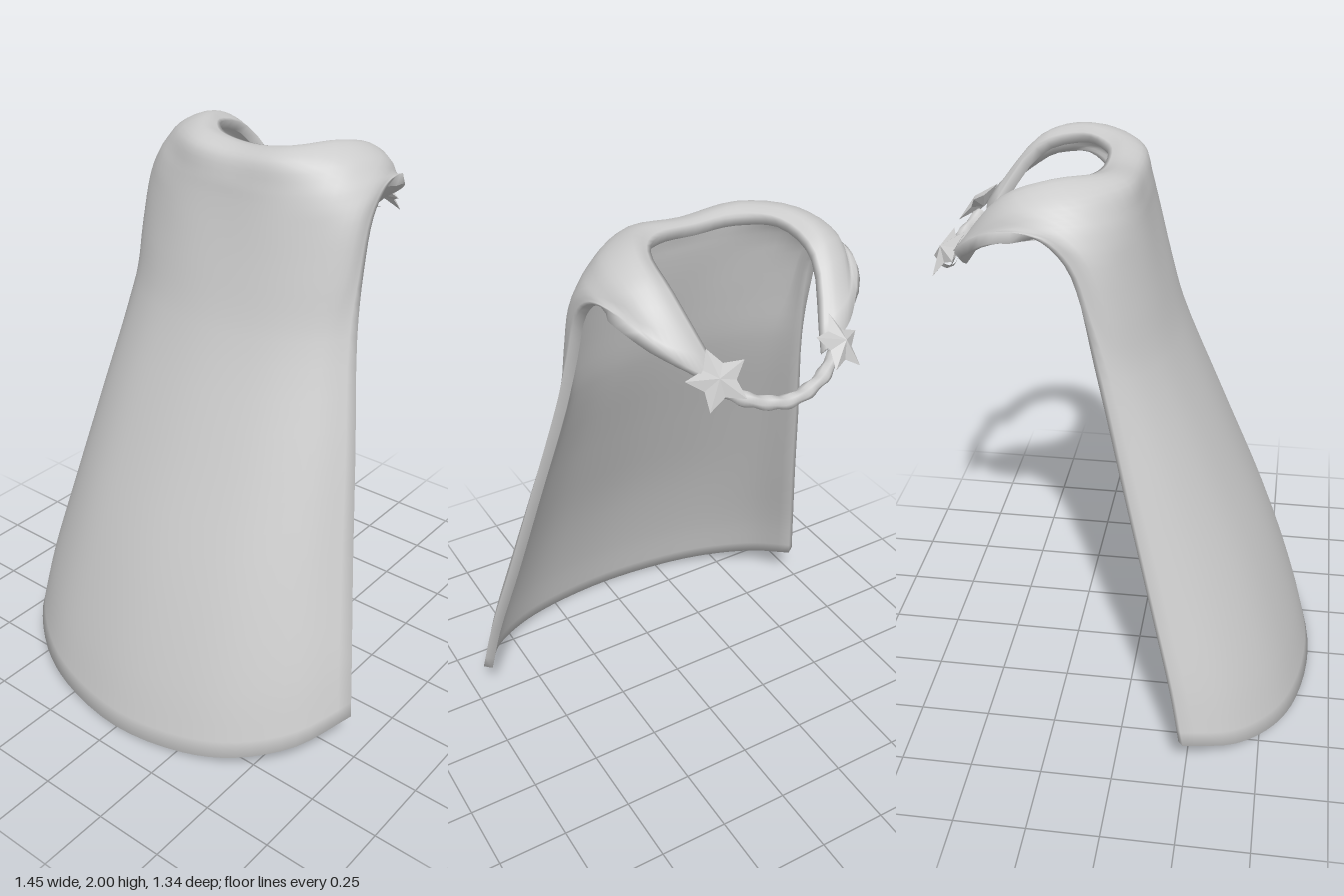
import * as THREE from 'three';

const V = (x, y, z) => new THREE.Vector3(x, y, z);
const cloth = new THREE.MeshStandardMaterial({ color: 0xcccccc });
cloth.name = 'pale grey';

// Half rows of the cloth, from the centre front to the left free edge
const collarRows = [
  [[0, 1.965, -0.11], [0.13, 1.972, -0.13], [0.22, 1.975, -0.22], [0.24, 1.92, -0.39], [0.17, 1.69, -0.56]],
  [[0, 1.972, -0.06], [0.18, 1.993, -0.08], [0.28, 2.0, -0.23], [0.3, 1.948, -0.38], [0.23, 1.73, -0.565]],
  [[0, 1.95, 0], [0.19, 1.962, -0.01], [0.35, 1.965, -0.15], [0.378, 1.932, -0.34], [0.3, 1.775, -0.53]],
  [[0, 1.88, 0.028], [0.2, 1.885, 0.012], [0.36, 1.9, -0.075], [0.422, 1.905, -0.21], [0.4, 1.872, -0.4]],
  [[0, 1.82, 0.04], [0.2, 1.825, 0.027], [0.36, 1.84, -0.04], [0.432, 1.86, -0.14], [0.434, 1.878, -0.26]],
  [[0, 1.74, 0.058], [0.2, 1.75, 0.045], [0.355, 1.77, -0.015], [0.435, 1.79, -0.09], [0.445, 1.8, -0.165]],
  [[0, 1.6, 0.095], [0.19, 1.6, 0.082], [0.335, 1.61, 0.035], [0.432, 1.62, -0.035], [0.456, 1.63, -0.105]],
];
// Draped rows: centre y, centre z, edge x, edge y, edge z
const drapeRows = [
  [1.4, 0.155, 0.48, 1.43, -0.05],
  [1.0, 0.32, 0.555, 1.05, 0.04],
  [0.6, 0.487, 0.627, 0.68, 0.13],
  [0.25, 0.605, 0.69, 0.38, 0.205],
  [0.01, 0.668, 0.725, 0.17, 0.245],
].map(([cy, cz, ex, ey, ez]) =>
  [[0, 1], [0.39, 0.906], [0.64, 0.73], [0.86, 0.42], [1, 0]].map(([fx, f]) =>
    [ex * fx, ey + (cy - ey) * f, ez + (cz - ez) * f]));

// Closed cloth: outer grid, inner grid set in along the normals, and a rim
function capeGeometry(nu, nv, thickness) {
  const rows = [...collarRows, ...drapeRows].map((half) => {
    const left = half.map((p) => V(...p));
    const right = half.slice(1).reverse().map(([x, y, z]) => V(-x, y, z));
    return new THREE.CatmullRomCurve3([...right, ...left]);
  });
  const pos = [];
  for (let i = 0; i <= nu; i++) {
    const column = new THREE.CatmullRomCurve3(rows.map((r) => r.getPoint(i / nu)));
    for (let j = 0; j <= nv; j++) pos.push(...column.getPoint(j / nv).toArray());
  }
  const id = (i, j) => i * (nv + 1) + j;
  const outer = [];
  for (let i = 0; i < nu; i++) {
    for (let j = 0; j < nv; j++) {
      const a = id(i, j), b = id(i, j + 1), c = id(i + 1, j + 1), d = id(i + 1, j);
      outer.push(a, b, c, a, c, d);
    }
  }
  const sheet = new THREE.BufferGeometry();
  sheet.setAttribute('position', new THREE.Float32BufferAttribute(pos, 3));
  sheet.setIndex(outer);
  sheet.computeVertexNormals();
  const n = sheet.attributes.normal.array;
  const count = pos.length / 3;
  const all = [...pos, ...pos.map((v, k) => v - n[k] * thickness)];

  const index = [...outer];
  for (let k = 0; k < outer.length; k += 3) {
    index.push(outer[k] + count, outer[k + 2] + count, outer[k + 1] + count);
  }
  const loop = [];
  for (let j = 0; j < nv; j++) loop.push(id(0, j));
  for (let i = 0; i < nu; i++) loop.push(id(i, nv));
  for (let j = nv; j > 0; j--) loop.push(id(nu, j));
  for (let i = nu; i > 0; i--) loop.push(id(i, 0));
  loop.forEach((p, k) => {
    const q = loop[(k + 1) % loop.length];
    index.push(q, p, p + count, q, p + count, q + count);
  });
  const geo = new THREE.BufferGeometry();
  geo.setAttribute('position', new THREE.Float32BufferAttribute(all, 3));
  geo.setIndex(index);
  geo.computeVertexNormals();
  return geo;
}

// Five-pointed star, raised to a point in front and behind
function starGeometry(outerR, innerR, height) {
  const ring = [];
  for (let k = 0; k < 10; k++) {
    const a = Math.PI / 2 + (k * Math.PI) / 5, r = k % 2 ? innerR : outerR;
    ring.push([r * Math.cos(a), r * Math.sin(a), 0]);
  }
  const pos = [];
  ring.forEach((p, k) => {
    const q = ring[(k + 1) % 10];
    pos.push(...p, ...q, 0, 0, height, ...q, ...p, 0, 0, -height * 0.6);
  });
  const geo = new THREE.BufferGeometry();
  geo.setAttribute('position', new THREE.Float32BufferAttribute(pos, 3));
  geo.computeVertexNormals();
  return geo;
}

// Twisted cord: a tube with two spiralling strands
function cordGeometry(points, radius) {
  const segments = 48, sides = 8;
  const curve = new THREE.CatmullRomCurve3(points);
  const geo = new THREE.TubeGeometry(curve, segments, radius, sides);
  const p = geo.attributes.position, v = V();
  for (let k = 0; k < p.count; k++) {
    const t = Math.floor(k / (sides + 1)) / segments;
    const angle = ((k % (sides + 1)) / sides) * Math.PI * 2;
    const centre = curve.getPointAt(t);
    v.fromBufferAttribute(p, k).sub(centre);
    v.multiplyScalar(1 + 0.13 * Math.sin(2 * angle + t * 36)).add(centre);
    p.setXYZ(k, v.x, v.y, v.z);
  }
  geo.computeVertexNormals();
  return geo;
}

export function createModel() {
  const group = new THREE.Group();
  group.name = 'cape';
  const add = (name, geometry) => {
    const mesh = new THREE.Mesh(geometry, cloth);
    mesh.name = name;
    group.add(mesh);
    return mesh;
  };

  add('capeCloth', capeGeometry(32, 44, 0.034));

  // Clasp stars, facing up and back
  for (const side of [1, -1]) {
    const star = add(side > 0 ? 'leftStar' : 'rightStar', starGeometry(0.097, 0.052, 0.03));
    const normal = V(side * 0.3, 0.64, -0.7).normalize();
    const tip = V(-side * 0.055, -0.045, -0.06);
    const x = V().crossVectors(tip, normal).normalize();
    const y = V().crossVectors(normal, x);
    star.quaternion.setFromRotationMatrix(new THREE.Matrix4().makeBasis(x, y, normal));
    star.position.set(side * 0.212, 1.725, -0.588);
  }

  // Cord joining the two stars
  add('claspCord', cordGeometry([
    V(-0.2, 1.69, -0.585), V(-0.12, 1.648, -0.625), V(0, 1.622, -0.645),
    V(0.12, 1.648, -0.625), V(0.2, 1.69, -0.585),
  ], 0.022));

  return group;
}
